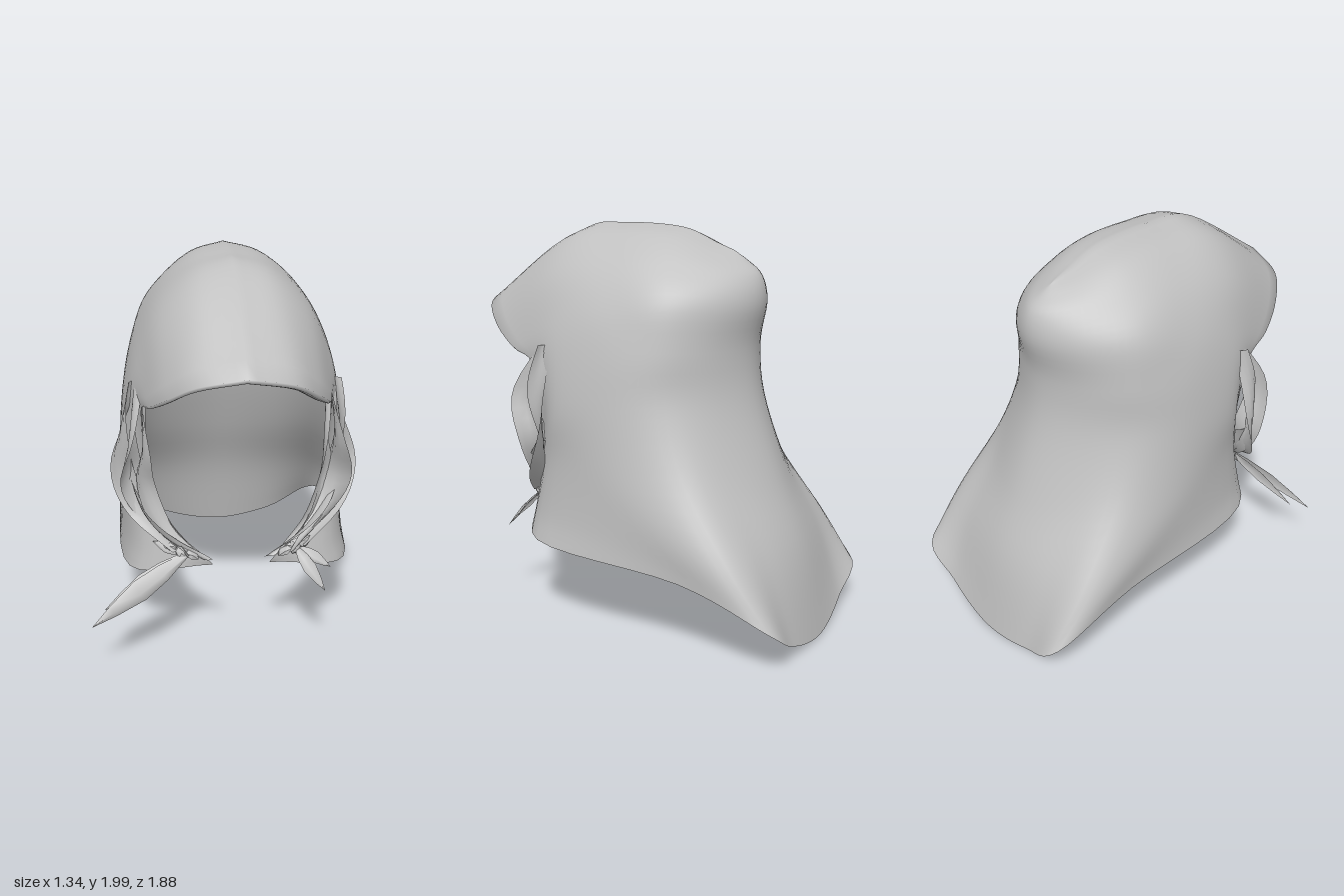
import * as THREE from 'three';
import { mergeVertices } from 'three/addons/utils/BufferGeometryUtils.js';

const V = (x, y, z) => new THREE.Vector3(x, y, z);
const centre = (y) => 0.08 - 0.02 * y; // the cloth sits slightly off centre

// Smooth surface through a grid of points (rows of equal length)
function gridSurface(rows) {
  const n = rows[0].length, pos = [], index = [];
  rows.forEach((r) => r.forEach((p) => pos.push(p.x, p.y, p.z)));
  for (let i = 0; i < rows.length - 1; i++)
    for (let j = 0; j < n - 1; j++) {
      const a = i * n + j, b = a + 1, c = a + n, d = c + 1;
      index.push(a, b, d, a, d, c);
    }
  let g = new THREE.BufferGeometry();
  g.setAttribute('position', new THREE.Float32BufferAttribute(pos, 3));
  g.setIndex(index);
  g = mergeVertices(g, 1e-4);
  g.computeVertexNormals();
  return g;
}

// Half rows, hem to crown: face edge, two side points, back corner, middle of the back
const HOOD = [
  [[.14, .54, .60], [.55, .45, .42], [.60, .395, -.40], [.57, .23, -.85], [0, .01, -.90]],
  [[.17, .58, .60], [.51, .60, .42], [.60, .60, -.20], [.57, .50, -.64], [0, .43, -.80]],
  [[.33, .74, .55], [.51, .85, .36], [.58, .85, -.03], [.51, .86, -.37], [0, .77, -.66]],
  [[.43, 1.0, .46], [.54, 1.1, .31], [.55, 1.15, 0], [.46, 1.18, -.25], [0, 1.15, -.53]],
  [[.45, 1.32, .50], [.51, 1.38, .32], [.51, 1.42, 0], [.43, 1.43, -.25], [0, 1.42, -.50]],
  [[.41, 1.40, .66], [.45, 1.58, .36], [.45, 1.63, .05], [.40, 1.66, -.22], [0, 1.63, -.54]],
  [[.33, 1.49, .81], [.35, 1.76, .45], [.335, 1.82, .10], [.29, 1.82, -.16], [0, 1.76, -.52]],
  [[.21, 1.58, .925], [.19, 1.90, .50], [.18, 1.95, .18], [.16, 1.94, -.10], [0, 1.83, -.45]],
  [[0, 1.63, .98], [0, 1.96, .48], [0, 2.0, .22], [0, 1.985, -.10], [0, 1.88, -.38]],
];

// Brim edge turned under, k running from the edge to the inside
function turnUnder(p, k) {
  const c = centre(p.y), f = THREE.MathUtils.smoothstep(p.y, 1.3, 1.48);
  return V(c + (p.x - c) * (1 - 0.05 * k * f), p.y - 0.055 * Math.sqrt(k) * f, p.z - 0.12 * k * f);
}

function hoodRows() {
  const across = HOOD.map((points) => {
    const half = points.map((p) => V(...p));
    // The back rounds off between its corner and middle
    const [corner, middle] = half.slice(-2);
    const round = corner.clone().lerp(middle, 0.67);
    round.x = corner.x * 0.58;
    half.splice(-1, 0, round);
    const full = [...half, ...half.slice(0, -1).reverse().map((p) => V(-p.x, p.y, p.z))];
    full.forEach((p) => { p.x += centre(p.y); });
    return new THREE.CatmullRomCurve3(full, false, 'catmullrom', 0.5).getPoints(60);
  });
  const columns = across[0].map((_, j) =>
    new THREE.CatmullRomCurve3(across.map((r) => r[j]), false, 'catmullrom', 0.5).getPoints(40));
  return Array.from({ length: 41 }, (_, i) => {
    const row = columns.map((c) => c[i]);
    const lip = (p) => [1, .6, .25].map((k) => turnUnder(p, k));
    return [...lip(row[0]), ...row, ...lip(row[60]).reverse()];
  });
}

// Ribbon along a path, twisting as it goes and tapering at both ends
function ribbon(points, width, twist, phase) {
  const curve = new THREE.CatmullRomCurve3(points.map((p) => V(...p)));
  const rows = [];
  for (let i = 0; i <= 18; i++) {
    const t = i / 18, p = curve.getPoint(t), a = phase + twist * t;
    const w = width * (0.4 + 0.6 * Math.sin(Math.PI * t));
    const dir = V(Math.cos(a), 0, Math.sin(a));
    const bow = V(-Math.sin(a), 0, Math.cos(a)).multiplyScalar(w * 0.4);
    rows.push([-1, -.5, 0, .5, 1].map((k) =>
      p.clone().addScaledVector(dir, k * w).addScaledVector(bow, 1 - k * k)));
  }
  return gridSurface(rows);
}

// Thin pointed cloth end, folded along its length
function tail(from, to, width) {
  const a = V(...from), b = V(...to);
  const side = b.clone().sub(a).cross(V(0.3, 0.4, 1)).normalize();
  return gridSurface([[0, .25], [.25, .8], [.5, 1], [.78, .55], [1, .02]].map(([t, w]) => {
    const p = a.clone().lerp(b, t);
    return [-1, 0, 1].map((k) => p.clone().addScaledVector(side, k * w * width)
      .add(V(0, 0, (1 - Math.abs(k)) * w * width * 0.7)));
  }));
}

export function createModel() {
  const model = new THREE.Group();
  model.name = 'headscarf';
  const cloth = new THREE.MeshStandardMaterial({ color: 0xc0c0c0, side: THREE.DoubleSide });
  cloth.name = 'grey cloth';
  const add = (name, geometry, parent = model) => {
    const m = new THREE.Mesh(geometry, cloth);
    m.name = name;
    parent.add(m);
    return m;
  };

  // Hood, brim and back drape in one sheet
  add('hood', gridSurface(hoodRows()));

  // Gathered folds and knot on each side of the face
  for (const s of [1, -1]) {
    const side = new THREE.Group();
    side.name = s > 0 ? 'leftGather' : 'rightGather';
    side.position.x = 0.055;
    model.add(side);
    const fold = (name, points, width, twist, phase) => add(name, ribbon(
      points.map(([x, y, z]) => [x * s, y, z]), width, s * twist, s > 0 ? phase : Math.PI - phase), side);

    fold('innerFold', [[.44, 1.38, .46], [.43, 1.15, .54], [.44, .95, .49], [.38, .76, .53], [.22, .60, .60]], .06, 2.4, 1.2);
    fold('middleFold', [[.46, 1.44, .42], [.49, 1.18, .53], [.50, .95, .47], [.42, .76, .50], [.26, .61, .61]], .075, -3.2, 2.2);
    fold('outerFold', [[.49, 1.43, .40], [.53, 1.20, .43], [.55, .98, .41], [.48, .78, .46], [.31, .62, .58]], .07, 3.4, .9);
    fold('lowerFold', [[.50, .95, .42], [.44, .80, .50], [.33, .68, .56], [.15, .57, .60]], .06, 2, 1);

    // Crumpled knot
    for (let i = 0; i < 3; i++) {
      const lump = add('knot', new THREE.IcosahedronGeometry(.035), side);
      lump.position.set(s * (.23 + .05 * i), .60 + .012 * i, .60 - .02 * i);
      lump.scale.set(1.3, .6, .9);
      lump.rotation.set(i, i * 1.7, s * .5);
    }
  }

  // Loose ends, longer on the right
  add('leftLongTail', tail([.34, .61, .58], [.47, .43, .71], .035));
  add('leftShortTail', tail([.36, .60, .57], [.51, .51, .62], .03));
  add('leftUpperTail', tail([.33, .60, .56], [.46, .66, .50], .025));
  add('rightLongTail', tail([-.20, .60, .60], [-.66, .345, .80], .055));
  add('rightShortTail', tail([-.22, .60, .60], [-.60, .38, .71], .045));
  add('rightUpperTail', tail([-.22, .60, .58], [-.36, .64, .52], .03));

  return model;
}
